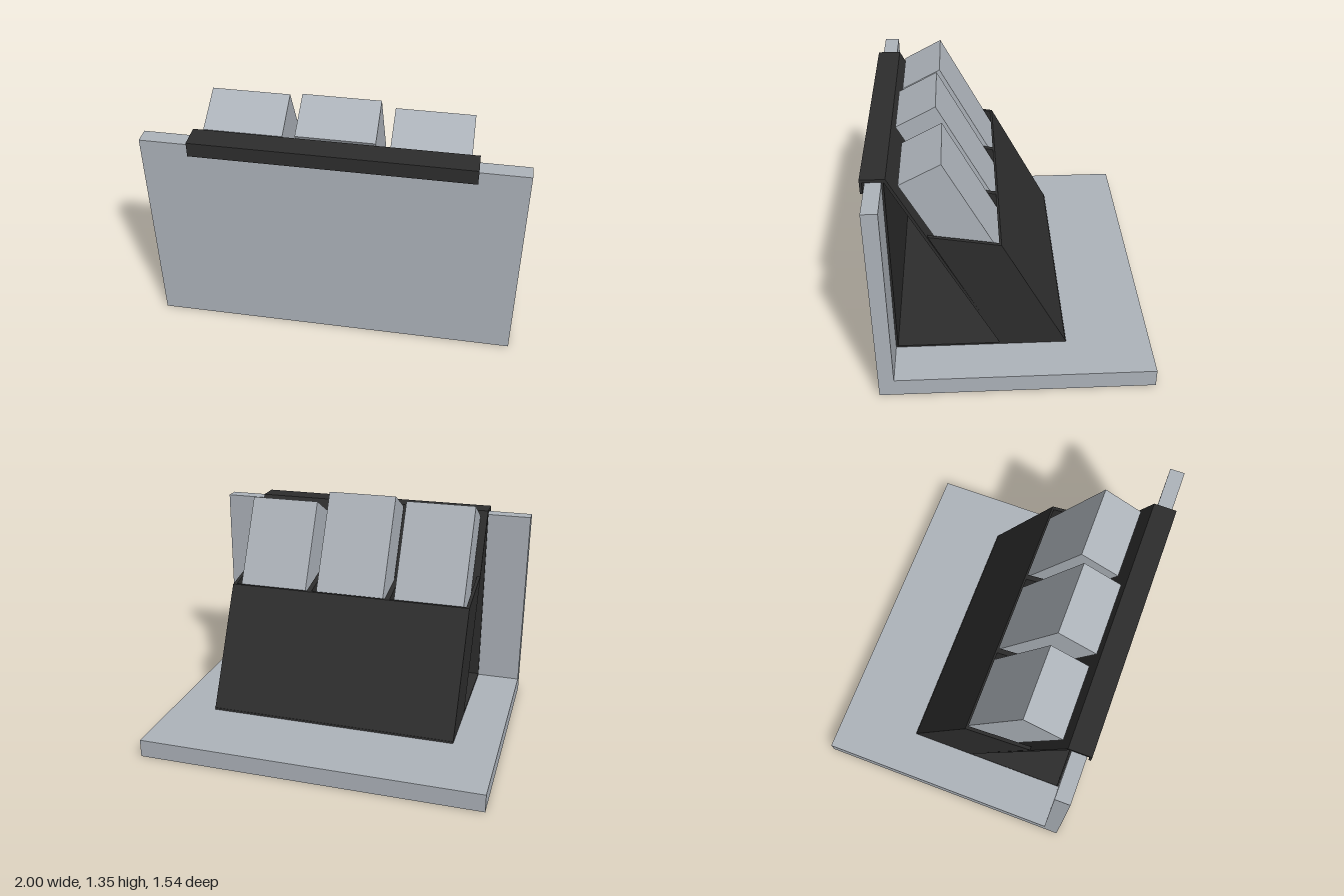
import * as THREE from 'three';

export function createModel() {
  const model = new THREE.Group();
  model.name = 'panelHolder';

  const grey = new THREE.MeshStandardMaterial({ color: 0xadb3ba });
  grey.name = 'pale grey';
  const dark = new THREE.MeshStandardMaterial({ color: 0x2d2d2d });
  dark.name = 'charcoal';

  // Extrudes a side profile of [z, y] points across x, centred on cx.
  function slab(name, points, width, cx, material) {
    const shape = new THREE.Shape(points.map(([z, y]) => new THREE.Vector2(z, y)));
    const geo = new THREE.ExtrudeGeometry(shape, { depth: width, bevelEnabled: false });
    geo.translate(0, 0, -width / 2);
    geo.rotateY(-Math.PI / 2);
    geo.translate(cx, 0, 0);
    const mesh = new THREE.Mesh(geo, material);
    mesh.name = name;
    model.add(mesh);
  }
  const rect = (z0, z1, y0, y1) => [[z0, y0], [z1, y0], [z1, y1], [z0, y1]];

  // Base and upright wall
  slab('base', rect(-0.77, 0.75, 0, 0.105), 2, 0, grey);
  slab('wall', rect(0.665, 0.75, 0.105, 1.205), 2, 0, grey);

  // Sheet bracket: hook over the wall, back sheet, floor sheet, sloping sheet
  const W = 1.48;
  slab('hookLip', rect(0.762, 0.775, 1.15, 1.232), W, 0, dark);
  slab('hookTop', rect(0.645, 0.763, 1.215, 1.232), W, 0, dark);
  slab('backSheet', rect(0.654, 0.665, 0.106, 1.216), W, 0, dark);
  slab('floorSheet', rect(-0.292, 0.655, 0.104, 0.115), W, 0, dark);
  slab('slopingSheet', [[0.065, 0.108], [0.078, 0.108], [0.66, 1.225], [0.645, 1.232]], W, 0, dark);

  // Pocket: outer plate, two ends and two dividers
  slab('pocketPlate', [[-0.295, 0.105], [-0.283, 0.105], [0.08, 0.802], [0.068, 0.8]], W, 0, dark);
  const side = [[-0.294, 0.105], [0.067, 0.108], [0.452, 0.867], [0.069, 0.8]];
  for (const s of [-1, 1]) {
    slab('pocketEnd', side, 0.02, s * 0.73, dark);
    slab('pocketDivider', side, 0.03, s * 0.245, dark);
  }

  // Three leaning blocks at differing heights; t is the top rear corner [z, y]
  const blocks = [[-0.49, 0.385, 1.325], [0, 0.4, 1.345], [0.49, 0.367, 1.285]];
  const along = [0.463, 0.886];
  const length = 1.2;
  for (const [x, z, y] of blocks) {
    const front = [z + 0.222, y - 0.118];
    slab('block', [
      [z - along[0] * length, y - along[1] * length],
      [front[0] - along[0] * (length - 0.14), front[1] - along[1] * (length - 0.14)],
      front, [z, y],
    ], 0.42, x, grey);
  }
  return model;
}
